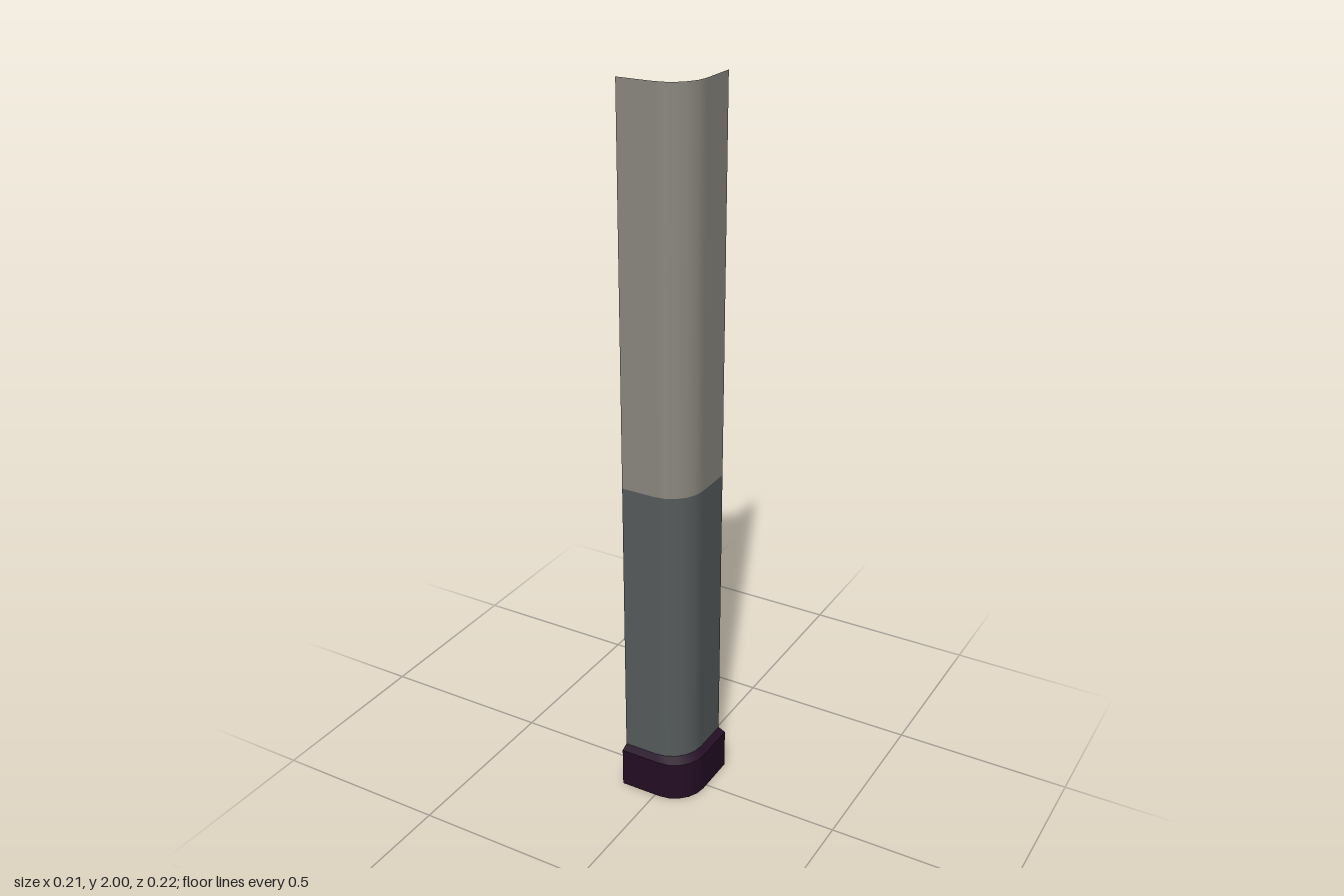
import * as THREE from 'three';

const SEGMENTS = 5, RADIUS = 0.093;

// Plan of the rounded corner: two straight arms joined by an arc, pushed out by an offset
function cornerPlan(offset) {
  const cx = -0.009 + offset, cz = -0.004 + offset;
  const plan = [{ x: -0.106, z: cz + RADIUS, nx: 0, nz: 1 }];
  for (let i = 0; i <= SEGMENTS; i++) {
    const a = (i / SEGMENTS) * Math.PI / 2;
    const nx = Math.sin(a), nz = Math.cos(a);
    plan.push({ x: cx + RADIUS * nx, z: cz + RADIUS * nz, nx, nz });
  }
  plan.push({ x: cx + RADIUS, z: -0.11, nx: 1, nz: 0 });
  return plan;
}

// Sheet stretched between a lower and an upper plan; tilt leans its normals upward
function sheet(lower, y0, upper, y1, tilt = 0) {
  const pos = [], nor = [], index = [];
  const normal = new THREE.Vector3();
  lower.forEach((p, i) => {
    const q = upper[i];
    pos.push(p.x, y0, p.z, q.x, y1, q.z);
    normal.set(p.nx, tilt, p.nz).normalize();
    nor.push(...normal.toArray(), ...normal.toArray());
    if (i < lower.length - 1) {
      const a = i * 2;
      index.push(a, a + 2, a + 1, a + 2, a + 3, a + 1);
    }
  });
  const g = new THREE.BufferGeometry();
  g.setAttribute('position', new THREE.Float32BufferAttribute(pos, 3));
  g.setAttribute('normal', new THREE.Float32BufferAttribute(nor, 3));
  g.setIndex(index);
  return g;
}

function material(name, color) {
  const m = new THREE.MeshStandardMaterial({ color, side: THREE.DoubleSide });
  m.name = name;
  return m;
}

export function createModel() {
  const group = new THREE.Group();
  group.name = 'roundedWallCorner';
  const upperPaint = material('warm grey paint', 0x8b887f);
  const lowerPaint = material('slate grey paint', 0x565b5c);
  const skirtingPaint = material('dark plum', 0x240e24);

  const add = (name, geometry, mat) => {
    const mesh = new THREE.Mesh(geometry, mat);
    mesh.name = name;
    group.add(mesh);
  };

  const wall = cornerPlan(0);
  const skirting = cornerPlan(0.021);

  // Two-tone wall
  add('upperWall', sheet(wall, 0.938, wall, 2), upperPaint);
  add('lowerWall', sheet(wall, 0.125, wall, 0.938), lowerPaint);

  // Skirting board: open-backed face with a sloping top ledge
  add('skirtingFace', sheet(skirting, 0, skirting, 0.115), skirtingPaint);
  add('skirtingLedge', sheet(skirting, 0.115, wall, 0.125, 2), skirtingPaint);

  return group;
}
